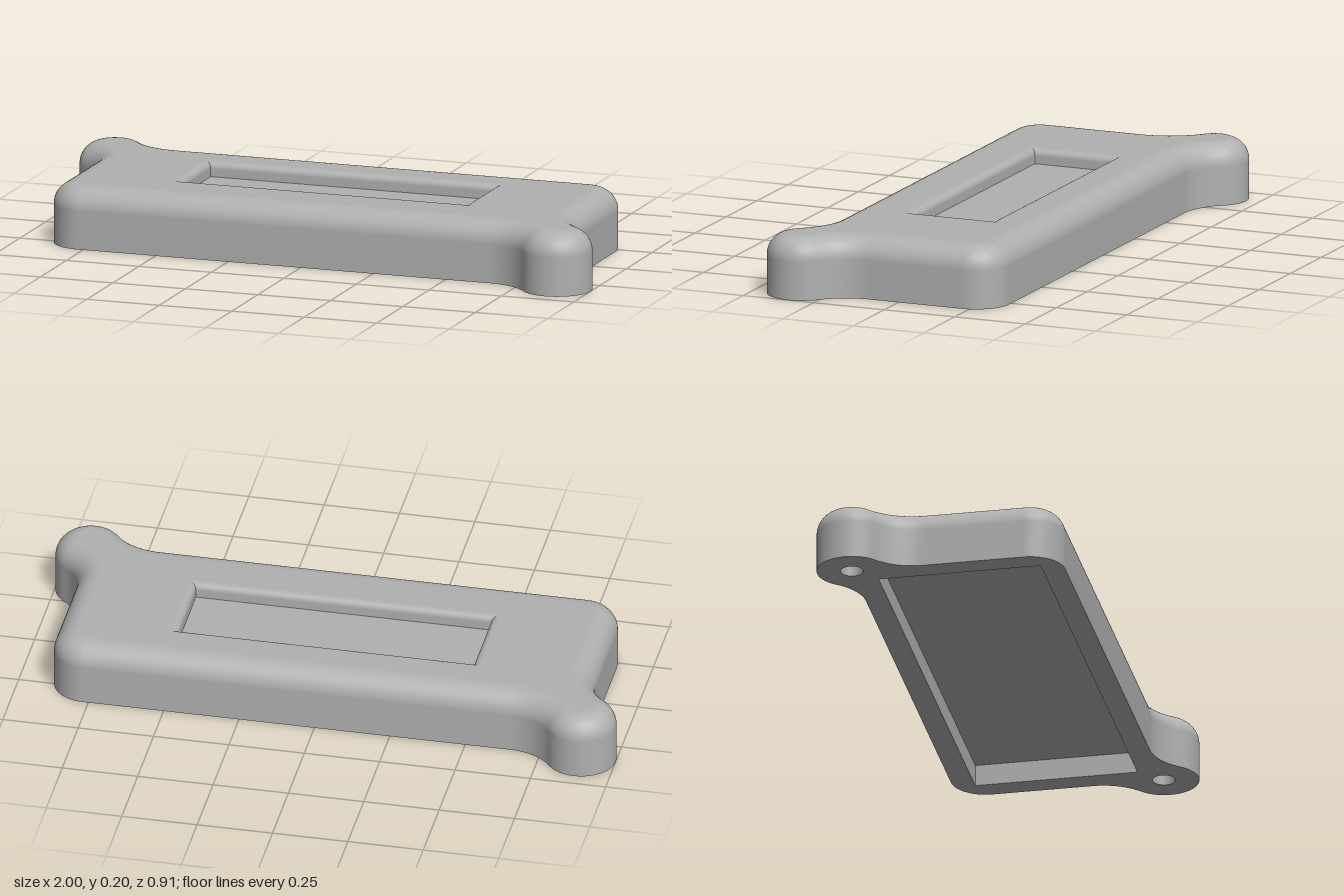
import * as THREE from 'three';
import { mergeGeometries } from 'three/addons/utils/BufferGeometryUtils.js';

const W = 0.885, D = 0.341;        // half width and half depth of the body
const H = 0.204;                   // height
const CORNER = 0.115;              // radius of corners and ears
const EDGE = 0.075;                // rounding of the top edge
const BLEND = 0.183;               // concave radius where ears meet the body
const POCKET_Y = 0.072, FLOOR_Y = 0.155, HOLE_Y = 0.13;

// Points of an arc in the plan; plan y points to the back
function arc(cx, cy, r, from, to, n) {
  return Array.from({ length: n + 1 }, (_, i) => {
    const a = from + (to - from) * i / n;
    return new THREE.Vector2(cx + r * Math.cos(a), cy + r * Math.sin(a));
  });
}

// Body outline moved inwards by d: one half, then the same turned by 180 degrees
function outline(d) {
  const run = Math.sqrt((BLEND + CORNER) ** 2 - BLEND ** 2);
  const a = Math.atan2(BLEND, run), b = Math.atan2(run, BLEND), PI = Math.PI;
  const half = [
    ...arc(W - run, -D - BLEND, BLEND + d, PI / 2, a, 12),
    ...arc(W, -D, CORNER - d, a + PI, b + 2 * PI, 32).slice(1),
    ...arc(W + BLEND, -D + run, BLEND + d, b + PI, PI, 12).slice(1),
    ...arc(W - CORNER, D - CORNER, CORNER - d, 0, PI / 2, 14),
  ];
  return [...half, ...half.map(p => p.clone().negate())];
}

function rect(w, d, cy = 0) {
  return [[-w, -d], [w, -d], [w, d], [-w, d]].map(([x, y]) => new THREE.Vector2(x, y + cy));
}

const circle = (c, r) => arc(c.x, c.y, r, 0, Math.PI * 2, 28).slice(0, -1);

// Skin through rings { pts, y }
function skin(rings, closed = true) {
  const n = rings[0].pts.length, pos = [], idx = [];
  rings.forEach(({ pts, y }) => pts.forEach(p => pos.push(p.x, y, -p.y)));
  for (let k = 0; k < rings.length - 1; k++) {
    for (let i = 0; i < (closed ? n : n - 1); i++) {
      const j = (i + 1) % n, a = k * n + i, b = k * n + j;
      idx.push(a, b, b + n, a, b + n, a + n);
    }
  }
  const g = new THREE.BufferGeometry();
  g.setAttribute('position', new THREE.Float32BufferAttribute(pos, 3));
  g.setIndex(idx);
  g.computeVertexNormals();
  return g;
}

// Skin with sharp mitred corners: one strip per side
function sharpSkin(rings) {
  return mergeGeometries(rings[0].pts.map((_, i) =>
    skin(rings.map(({ pts, y }) => ({ pts: [pts[i], pts[(i + 1) % pts.length]], y })), false)));
}

// Flat face at height y, facing up or down
function flat(pts, y, up = true, holes = []) {
  const map = list => list.map(p => new THREE.Vector2(p.x, up ? p.y : -p.y));
  const shape = new THREE.Shape(map(pts));
  holes.forEach(h => shape.holes.push(new THREE.Path(map(h))));
  return new THREE.ShapeGeometry(shape).rotateX(up ? -Math.PI / 2 : Math.PI / 2).translate(0, y, 0);
}

export function createModel() {
  const model = new THREE.Group();
  model.name = 'enclosureCover';
  const grey = new THREE.MeshStandardMaterial({ color: 0xb0b0b0 });
  grey.name = 'grey';
  const add = (name, geometry) => {
    const mesh = new THREE.Mesh(geometry, grey);
    mesh.name = name;
    model.add(mesh);
  };

  // Outer wall with rounded top edge
  const wall = [{ pts: outline(0), y: 0 }];
  for (let i = 0; i <= 12; i++) {
    const t = i / 12 * Math.PI / 2;
    wall.push({ pts: outline(EDGE * (1 - Math.cos(t))), y: H - EDGE + EDGE * Math.sin(t) });
  }
  add('outerWall', skin(wall));

  // Top face and the recess with its rounded lip
  const lip = 0.022, recess = grow => rect(0.49 + grow, 0.14 + grow, 0.02);
  add('topFace', flat(outline(EDGE), H, true, [recess(lip)]));
  const sides = [];
  for (let i = 0; i <= 8; i++) {
    const t = i / 8 * Math.PI / 2;
    sides.push({ pts: recess(lip * (1 - Math.sin(t))), y: H - lip + lip * Math.cos(t) });
  }
  sides.push({ pts: recess(0), y: FLOOR_Y });
  add('recessWall', sharpSkin(sides));
  add('recessFloor', flat(recess(0), FLOOR_Y));

  // Underside rim, pocket and blind screw holes in the ears
  const pocket = rect(0.808, 0.268);
  const holes = [1, -1].map(s => circle(new THREE.Vector2(s * W, -s * D), 0.037));
  add('bottomRim', flat(outline(0), 0, false, [pocket, ...holes]));
  add('pocketWall', sharpSkin([{ pts: pocket, y: POCKET_Y }, { pts: pocket, y: 0 }]));
  add('pocketCeiling', flat(pocket, POCKET_Y, false));
  holes.forEach(h => {
    add('screwHoleWall', skin([{ pts: h, y: HOLE_Y }, { pts: h, y: 0 }]));
    add('screwHoleEnd', flat(h, HOLE_Y, false));
  });
  return model;
}
